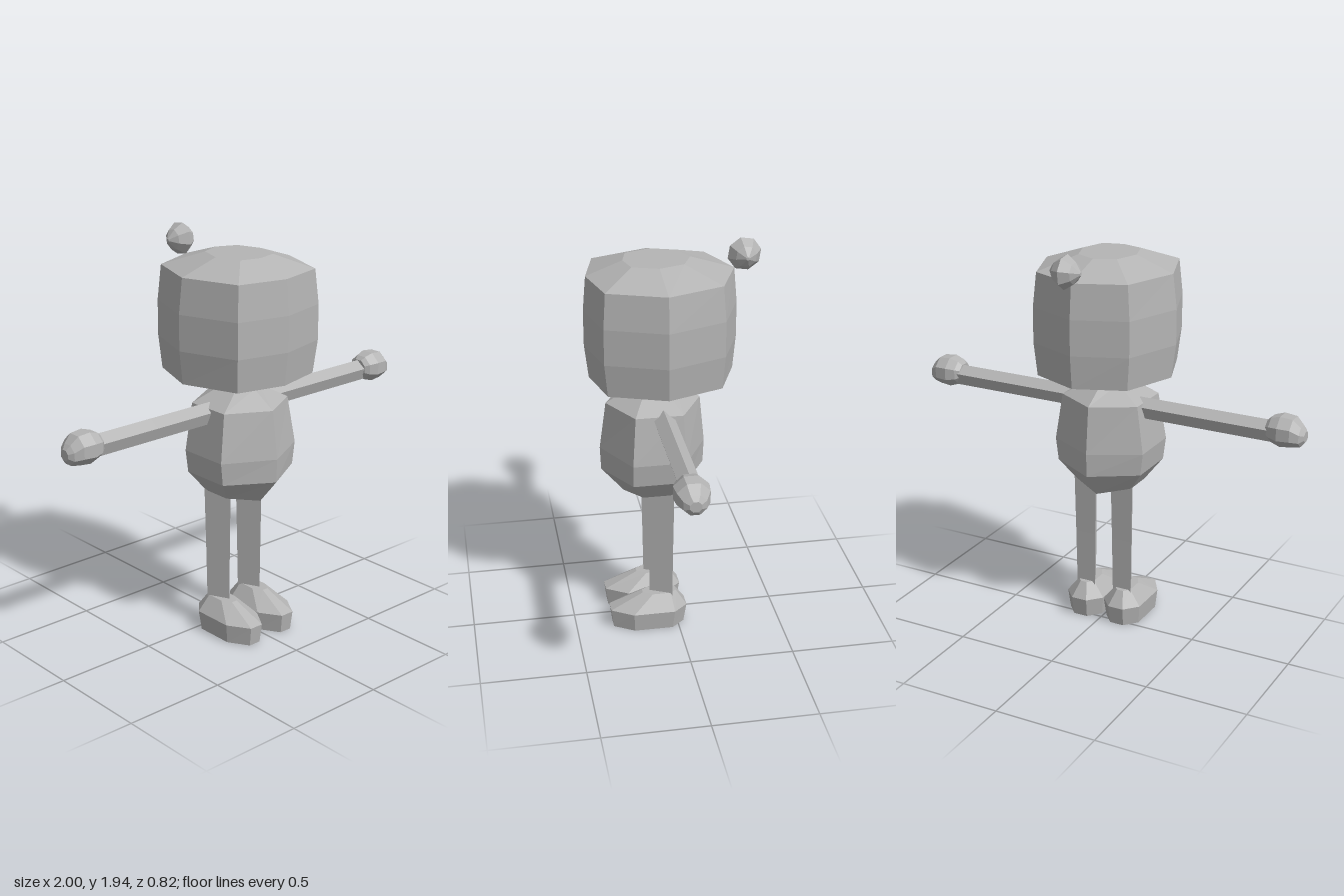
import * as THREE from 'three';

const grey = new THREE.MeshStandardMaterial({ color: 0xb4b4b4, flatShading: true });
grey.name = 'plain grey';

// Joins rings of [x, y, z] points into a capped solid; side = -1 mirrors it in x.
function loft(name, rings, side = 1) {
  const R = rings.map((r) => {
    const pts = r.map(([x, y, z]) => [x * side, y, z]);
    return side < 0 ? pts.reverse() : pts;
  });
  const n = R[0].length, pos = [];
  const tri = (a, b, c) => pos.push(...a, ...b, ...c);
  for (let i = 0; i < R.length - 1; i++) {
    for (let k = 0; k < n; k++) {
      const j = (k + 1) % n;
      tri(R[i][k], R[i][j], R[i + 1][j]);
      tri(R[i][k], R[i + 1][j], R[i + 1][k]);
    }
  }
  const first = R[0], last = R[R.length - 1];
  for (let k = 1; k < n - 1; k++) {
    tri(first[0], first[k + 1], first[k]);
    tri(last[0], last[k], last[k + 1]);
  }
  const g = new THREE.BufferGeometry();
  g.setAttribute('position', new THREE.Float32BufferAttribute(pos, 3));
  g.computeVertexNormals();
  const mesh = new THREE.Mesh(g, grey);
  mesh.name = name;
  return mesh;
}

// Ring around the x axis, with one corner at the top (turn is in corner steps).
const ringX = (n, x, cy, cz, ry, rz, turn = 0) =>
  Array.from({ length: n }, (_, k) => {
    const a = ((k + turn) / n) * Math.PI * 2;
    return [x, cy + Math.cos(a) * ry, cz + Math.sin(a) * rz];
  });

export function createModel() {
  const model = new THREE.Group();
  model.name = 'figure';

  // Head: rounded eight-sided drum, corner at the front
  const headOutline = [[0, 1], [0.71, 0.83], [1, 0.05], [0.71, -0.72], [0, -1],
    [-0.71, -0.72], [-1, 0.05], [-0.71, 0.83]];
  const headRings = [ // y, half width, half depth, z centre
    [1.225, 0.08, 0.085, 0.075], [1.3, 0.33, 0.34, 0.055], [1.46, 0.35, 0.357, 0.057],
    [1.63, 0.35, 0.357, 0.057], [1.795, 0.33, 0.343, 0.057], [1.86, 0.14, 0.155, 0.075],
  ];
  model.add(loft('head', headRings.map(([y, rx, rz, cz]) =>
    headOutline.map(([x, z]) => [x * rx, y, cz + z * rz]))));

  // Bobble behind the top of the head
  model.add(loft('bobble', [[-0.076, 0.008], [-0.045, 0.05], [0, 0.08], [0.045, 0.05], [0.076, 0.008]]
    .map(([x, r]) => ringX(8, x, 1.858, -0.332, r, r, 0.3))));

  // Torso: six-sided barrel, sides lifted at the lower rim
  const torsoRings = [ // y, half width, half depth, z centre, side lift
    [0.69, 0.15, 0.145, 0.095, 0.03], [0.815, 0.222, 0.247, 0.1, 0.005],
    [0.93, 0.235, 0.252, 0.1, 0], [1.16, 0.2, 0.225, 0.095, 0], [1.235, 0.07, 0.1, 0.095, 0],
  ];
  model.add(loft('torso', torsoRings.map(([y, rx, rz, cz, lift]) =>
    [[0, 1], [1, 0.5], [1, -0.5], [0, -1], [-1, -0.5], [-1, 0.5]]
      .map(([x, z]) => [x * rx, y + (x ? lift : 0), cz + z * rz]))));

  for (const [side, label] of [[1, 'left'], [-1, 'right']]) {
    // Arm: five-sided bar with a ridge on top
    model.add(loft(label + 'Arm', [0.17, 0.52, 0.85].map((x) =>
      ringX(5, x, 1.128, 0.072, 0.052, 0.052)), side));

    // Hand: faceted ball
    const handRings = [[0.82, 0.045], [0.84, 0.063], [0.885, 0.078], [0.945, 0.072], [0.982, 0.05], [1, 0.026]];
    model.add(loft(label + 'Hand', handRings.map(([x, r]) =>
      ringX(8, x, x > 0.97 ? 1.125 : 1.14, 0.078, r, r * 1.08, 0.5)), side));

    // Leg: two three-sided lengths meeting at the knee
    const legRing = (y, r) => [[0.1, y, 0.08 + r], [0.1 + r * 0.95, y, 0.08 - r], [0.1 - r * 0.95, y, 0.08 - r]];
    model.add(loft(label + 'Thigh', [legRing(0.435, 0.056), legRing(0.74, 0.061)], side));
    model.add(loft(label + 'Shin', [legRing(0.14, 0.052), legRing(0.435, 0.056)], side));

    // Foot: long eight-sided shoe
    const footRings = [ // y, half width, back z, front z
      [0, 0.09, -0.03, 0.318], [0.095, 0.1, -0.045, 0.33], [0.17, 0.042, 0.005, 0.17],
    ];
    const footOutline = [[0.35, 1], [1, 0.72], [1, 0.18], [0.4, 0],
      [-0.4, 0], [-1, 0.18], [-1, 0.72], [-0.35, 1]];
    model.add(loft(label + 'Foot', footRings.map(([y, rx, back, front]) =>
      footOutline.map(([x, z]) => [0.102 + x * rx, y, back + z * (front - back)])), side));
  }
  return model;
}
